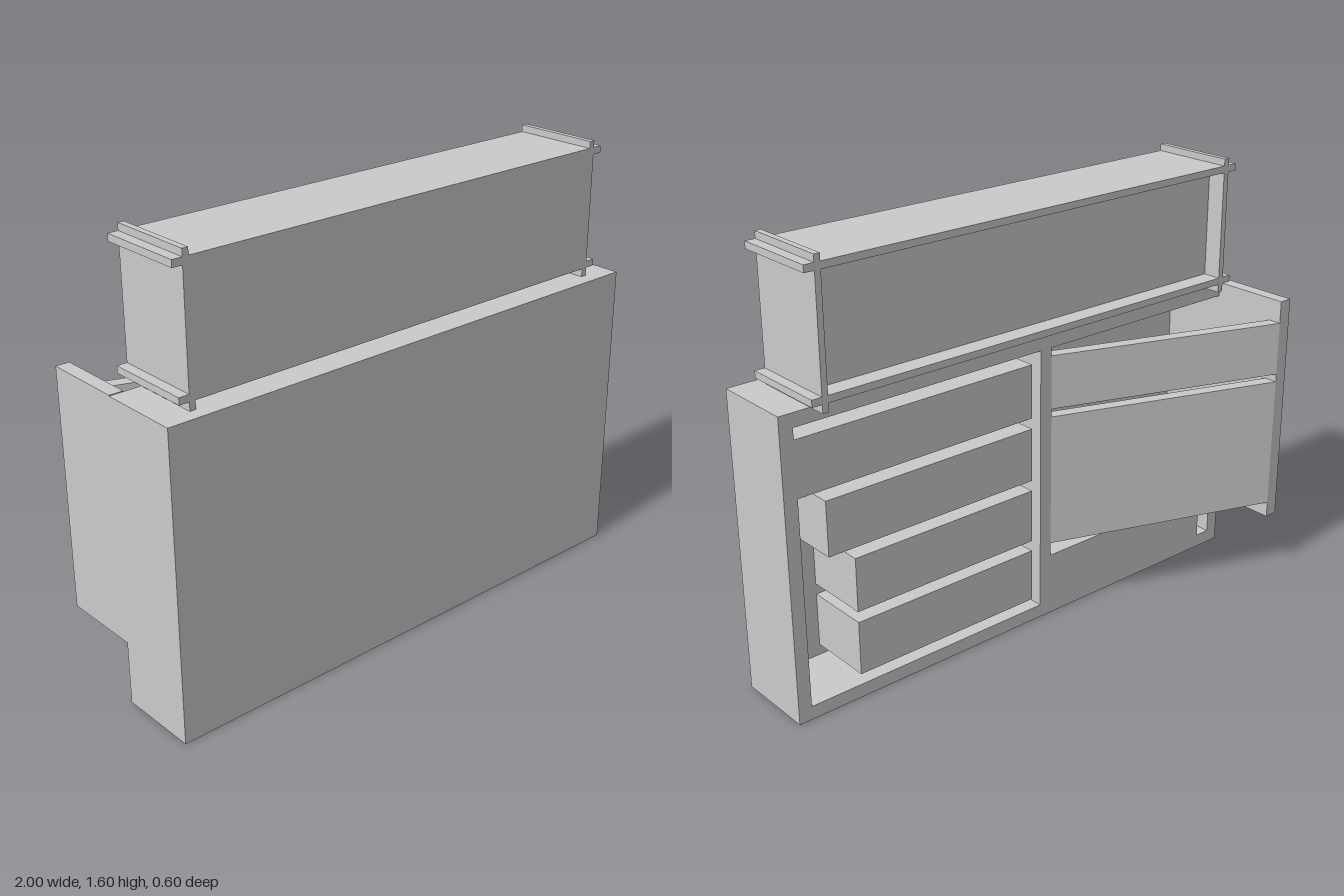
import * as THREE from 'three';

const material = new THREE.MeshStandardMaterial({ color: 0xcccccc, flatShading: true });

function add(group, name, geometry) {
  const mesh = new THREE.Mesh(geometry, material);
  mesh.name = name;
  group.add(mesh);
  return mesh;
}

// Box given by its low and high limits on each axis
function box(group, name, [x0, x1], [y0, y1], [z0, z1]) {
  const mesh = add(group, name, new THREE.BoxGeometry(x1 - x0, y1 - y0, z1 - z0));
  mesh.position.set((x0 + x1) / 2, (y0 + y1) / 2, (z0 + z1) / 2);
  return mesh;
}

const points = (list) => list.map(([x, y]) => new THREE.Vector2(x, y));

function createCabinet() {
  const cabinet = new THREE.Group();
  cabinet.name = 'cabinet';

  // Carcass with a drawer bay and a desk bay, open at the back
  const outline = new THREE.Shape(points([[-1, 0], [1, 0], [1, 1.1], [-1, 1.1]]));
  outline.holes.push(
    new THREE.Path(points([[-0.05, 0.05], [-0.05, 1.05], [0.95, 1.05], [0.95, 0.05]])),
    // Desk bay, with a slot running down beside the outer wall
    new THREE.Path(points([[-0.95, 0.05], [-0.95, 1.05], [-0.1, 1.05], [-0.1, 0.24], [-0.89, 0.24], [-0.89, 0.05]])),
  );
  add(cabinet, 'carcass', new THREE.ExtrudeGeometry(outline, { depth: 0.25, bevelEnabled: false }));
  box(cabinet, 'frontPanel', [-1, 1], [0, 1.1], [0.25, 0.3]);

  // Drawers, stepped in width
  [0.95, 0.85, 0.75, 0.75].forEach((x, i) => {
    const top = 1.01 - i * 0.24;
    box(cabinet, 'drawer', [-0.01, x], [top - 0.2, top], [0, 0.25]);
  });
  return cabinet;
}

function createFoldOut() {
  const foldOut = new THREE.Group();
  foldOut.name = 'foldOut';
  box(foldOut, 'sidePanel', [-1, -0.95], [0.23, 1.103], [-0.3, 0]);

  // Slanted boards from the desk bay to the side panel
  const plan = new THREE.Shape(points([[-0.95, 0.25], [-0.1, -0.05], [-0.1, 0], [-0.95, 0.3]]));
  for (const [y0, y1] of [[0.82, 1.02], [0.29, 0.79]]) {
    const geometry = new THREE.ExtrudeGeometry(plan, { depth: y1 - y0, bevelEnabled: false });
    geometry.rotateX(-Math.PI / 2);
    add(foldOut, 'slantedBoard', geometry).position.y = y0;
  }
  return foldOut;
}

function createTopShelf() {
  const shelf = new THREE.Group();
  shelf.name = 'topShelf';
  const depth = [-0.07, 0.25];

  // Interlocking boards whose ends stick out at the corners
  for (const y of [1.13, 1.55]) box(shelf, 'shelfBoard', [-0.922, 0.922], [y, y + 0.025], depth);
  for (const side of [-1, 1]) {
    const x = side * 0.874;
    box(shelf, 'shelfEnd', [x - 0.011, x + 0.011], [1.1, 1.6], depth);
  }
  // Closed front part, leaving a shallow recess at the back
  box(shelf, 'shelfBody', [-0.863, 0.863], [1.155, 1.55], [0, 0.25]);
  return shelf;
}

export function createModel() {
  const model = new THREE.Group();
  model.name = 'cabinetWithShelf';
  model.add(createCabinet(), createFoldOut(), createTopShelf());
  return model;
}
